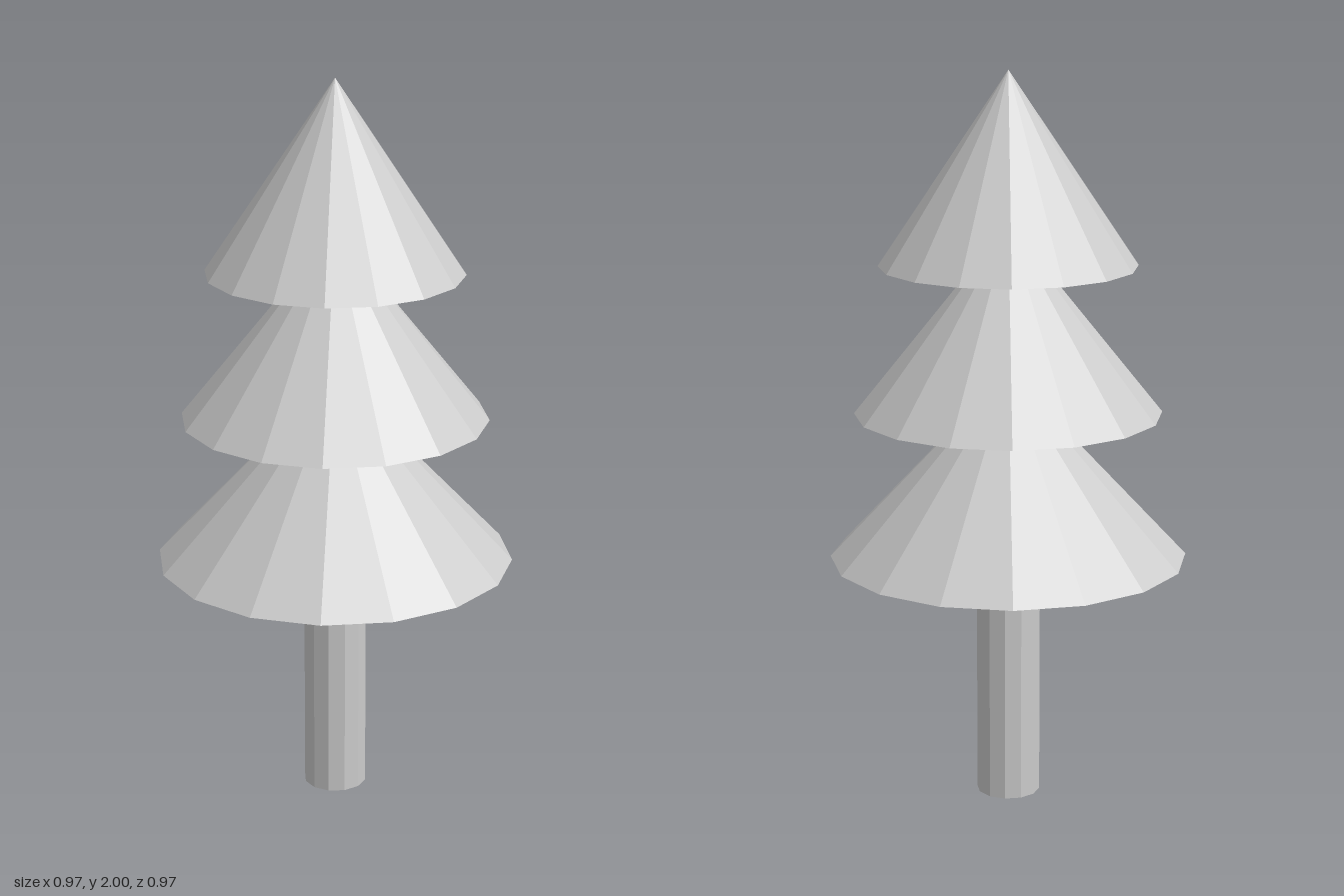
import * as THREE from 'three';

export function createModel() {
  const tree = new THREE.Group();
  tree.name = 'pineTree';
  const material = new THREE.MeshStandardMaterial({ color: 0xcccccc, flatShading: true });

  const add = (name, geometry, baseY) => {
    const mesh = new THREE.Mesh(geometry, material);
    mesh.name = name;
    mesh.position.y = baseY + geometry.parameters.height / 2;
    tree.add(mesh);
  };

  // Trunk
  add('trunk', new THREE.CylinderGeometry(0.087, 0.087, 0.682, 12), 0);

  // Three tiers of foliage, shrinking upwards; each tip hides inside the next
  const tiers = [
    ['lowerFoliage', 0.486, 0.682],
    ['middleFoliage', 0.416, 1.083],
    ['upperFoliage', 0.347, 1.484],
  ];
  for (const [name, radius, baseY] of tiers) {
    add(name, new THREE.ConeGeometry(radius, 0.516, 16), baseY);
  }

  return tree;
}
